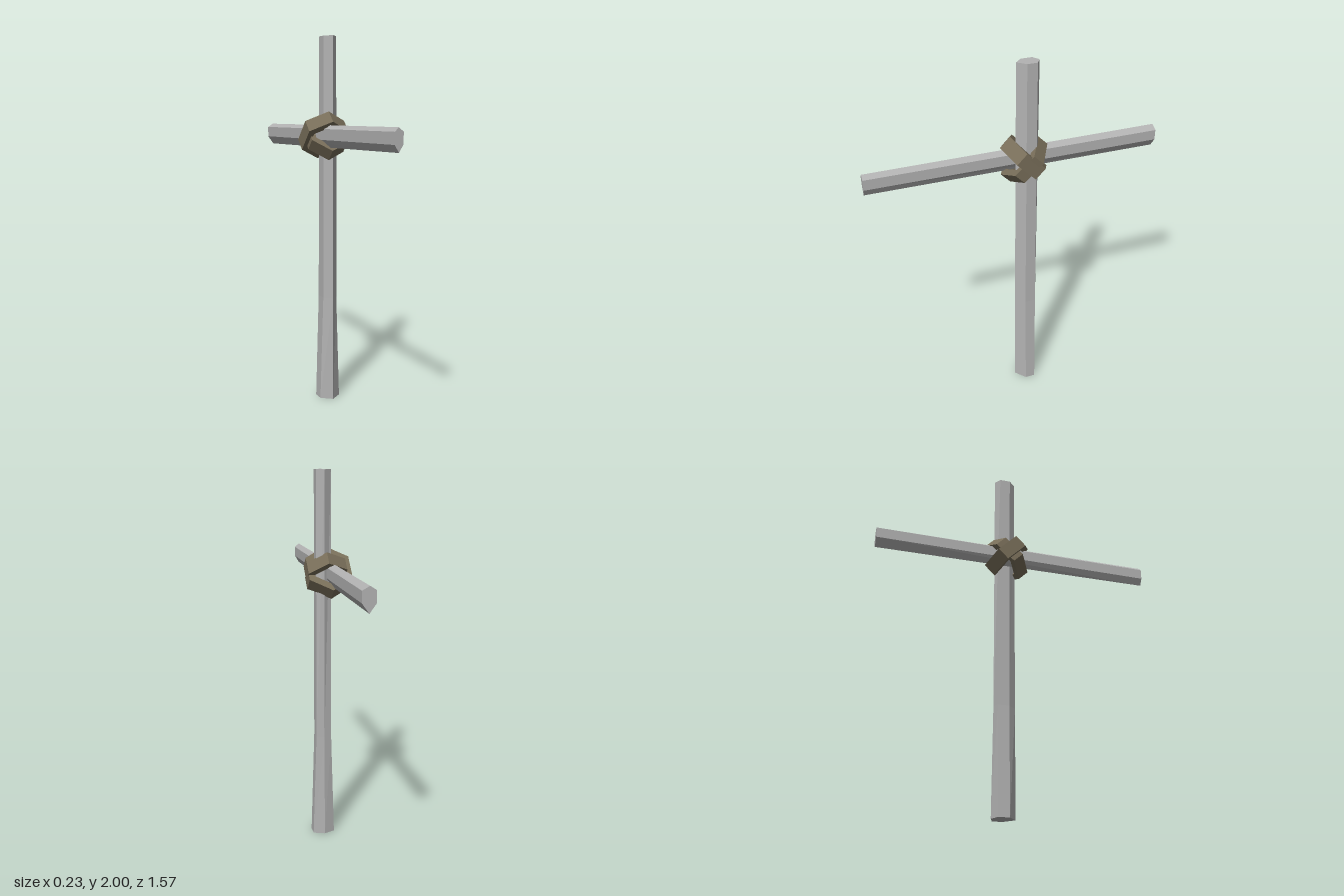
import * as THREE from 'three';

// Skin a run of equal-length cross-sections (counter-clockwise about the run) and cap both ends
function loft(sections) {
  const pos = [];
  const tri = (...pts) => pts.forEach((p) => pos.push(...p));
  const n = sections[0].length;
  for (let s = 0; s < sections.length - 1; s++) {
    const a = sections[s], b = sections[s + 1];
    for (let i = 0; i < n; i++) {
      const j = (i + 1) % n;
      tri(a[i], a[j], b[j]);
      tri(a[i], b[j], b[i]);
    }
  }
  const first = sections[0], last = sections[sections.length - 1];
  for (let i = 1; i < n - 1; i++) {
    tri(first[0], first[i + 1], first[i]);
    tri(last[0], last[i], last[i + 1]);
  }
  const g = new THREE.BufferGeometry();
  g.setAttribute('position', new THREE.Float32BufferAttribute(pos, 3));
  g.computeVertexNormals();
  return g;
}

// Hexagonal band with an open middle, one corner pointing up
function bandGeometry(radius, thickness, width) {
  const hexagon = (r, path) => {
    for (let i = 0; i < 6; i++) {
      const a = Math.PI / 2 + (i * Math.PI) / 3;
      path[i ? 'lineTo' : 'moveTo'](r * Math.cos(a), r * Math.sin(a));
    }
    path.closePath();
    return path;
  };
  const shape = hexagon(radius, new THREE.Shape());
  shape.holes.push(hexagon(radius - thickness, new THREE.Path()));
  return new THREE.ExtrudeGeometry(shape, { depth: width, bevelEnabled: false })
    .translate(0, 0, -width / 2);
}

export function createModel() {
  const group = new THREE.Group();
  const wood = new THREE.MeshStandardMaterial({ color: 0xb2b2b2, flatShading: true });
  wood.name = 'grey pole';
  const rope = new THREE.MeshStandardMaterial({ color: 0x786e59, flatShading: true });
  rope.name = 'brown binding';

  const add = (name, geometry, material) => {
    const mesh = new THREE.Mesh(geometry, material);
    mesh.name = name;
    group.add(mesh);
    return mesh;
  };

  // Upright post: six-sided, flared towards the foot
  const postSection = (y, x0, x1, front, back, sideBack) => [
    [0.03, y, front], [x1, y, -0.03], [x1, y, sideBack],
    [0.03, y, back], [x0, y, sideBack], [x0, y, -0.025],
  ];
  add('uprightPost', loft([
    postSection(0, -0.028, 0.09, 0.02, -0.107, -0.085),
    postSection(0.58, -0.01, 0.072, 0.018, -0.1, -0.088),
    postSection(2, -0.007, 0.069, 0.012, -0.107, -0.083),
  ]), wood);

  // Crossbeam running front to back, slightly slimmer at the front
  const beamSection = (z, x0, x1, low) => [
    [-0.012, 1.53, z], [x0, 1.51, z], [x0, 1.452, z],
    [-0.01, low, z], [x1, 1.455, z], [x1, 1.51, z],
  ];
  add('crossbeam', loft([
    beamSection(-0.785, -0.043, 0.025, 1.407),
    beamSection(0.785, -0.032, 0.013, 1.416),
  ]), wood);

  // Two tilted bands lashed diagonally around the joint
  const bandA = add('forwardBinding', bandGeometry(0.142, 0.042, 0.076), rope);
  bandA.position.set(-0.003, 1.475, -0.042);
  bandA.rotation.x = Math.PI / 4;
  bandA.scale.x = 0.93;

  const bandB = add('backwardBinding',
    bandGeometry(0.138, 0.04, 0.072).rotateZ(-0.1), rope);
  bandB.position.set(0.008, 1.467, -0.04);
  bandB.rotation.x = -Math.PI / 4;
  bandB.scale.x = 0.84;

  return group;
}
